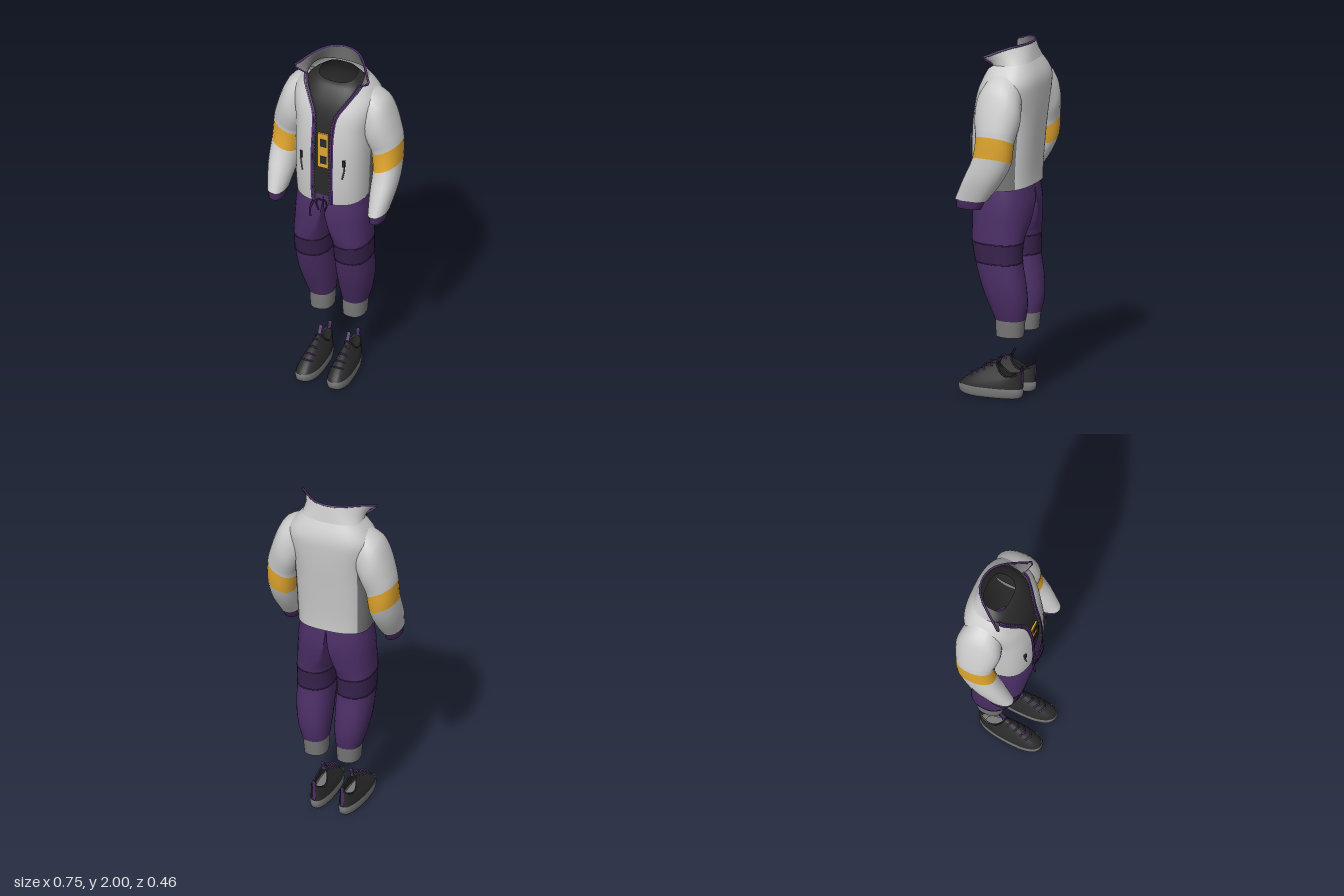
import * as THREE from 'three';

const LIGHT = 0xcccccc, GREY = 0x777777, PURPLE = 0x4b2e66, PLUM = 0x38224d, BLACK = 0x2a2a2a, GOLD = 0xe0a52e;
const V = (x, y, z) => new THREE.Vector3(x, y, z);

function mesh(name, geometry, color, parent) {
  const m = new THREE.Mesh(geometry, new THREE.MeshStandardMaterial({ color, side: THREE.DoubleSide }));
  m.name = name;
  parent.add(m);
  return m;
}

// Skin between rows of points
function loft(rows, closed) {
  const n = rows[0].length, cols = closed ? n : n - 1, index = [];
  for (let r = 0; r < rows.length - 1; r++) for (let c = 0; c < cols; c++) {
    const a = r * n + c, b = r * n + (c + 1) % n;
    index.push(a, a + n, b, b, a + n, b + n);
  }
  const g = new THREE.BufferGeometry().setFromPoints(rows.flat());
  g.setIndex(index);
  g.computeVertexNormals();
  return g;
}

// Smoothly add k steps between each pair of parameter rows
function refine(rows, k) {
  const out = [];
  for (let i = 0; i < rows.length - 1; i++) {
    const q = [Math.max(i - 1, 0), i, i + 1, Math.min(i + 2, rows.length - 1)].map(j => rows[j]);
    for (let s = 0; s < k; s++) {
      const t = s / k;
      out.push(q[1].map((p, j) => {
        const m0 = (q[2][j] - q[0][j]) / 2, m1 = (q[3][j] - p) / 2, d = q[2][j] - p;
        return p + t * (m0 + t * (3 * d - 2 * m0 - m1 + t * (m0 + m1 - 2 * d)));
      }));
    }
  }
  out.push(rows[rows.length - 1]);
  return out;
}

const pow = (v, e) => Math.sign(v) * Math.abs(v) ** e;

// Body ring, starting at the front; gap is the half width left open there
function bodyRing([y, rx, cz, zf, zb, gap, tilt], n = 48, from = 0, to = 1, grow = 1) {
  const e = 0.75, a0 = Math.asin((gap / rx) ** (1 / e)), pts = [];
  for (let i = 0; i <= n; i++) {
    const a = a0 + (2 * Math.PI - 2 * a0) * (from + (to - from) * i / n), c = Math.cos(a);
    pts.push(V(rx * grow * pow(Math.sin(a), e), y + tilt * c, cz + (c > 0 ? zf - cz : cz - zb) * grow * pow(c, e)));
  }
  return pts;
}

const tube = (pts, r, seg = 24) => new THREE.TubeGeometry(new THREE.CatmullRomCurve3(pts), seg, r, 6);

function buildJacket(root) {
  const jacket = new THREE.Group();
  jacket.name = 'jacket';
  root.add(jacket);
  // y, half width, middle z, front z, back z, half opening, tilt
  const rows = refine([
    [1.19, 0.2, -0.03, 0.148, -0.187, 0.048, -0.015],
    [1.3, 0.205, -0.03, 0.158, -0.19, 0.05, 0],
    [1.5, 0.21, -0.04, 0.155, -0.208, 0.05, 0],
    [1.62, 0.215, -0.06, 0.142, -0.22, 0.05, 0],
    [1.72, 0.235, -0.08, 0.118, -0.227, 0.06, 0],
    [1.79, 0.24, -0.085, 0.085, -0.228, 0.1, 0],
    [1.845, 0.21, -0.08, 0.06, -0.215, 0.135, 0],
    [1.89, 0.17, -0.07, 0.05, -0.188, 0.155, -0.012]], 3);
  const rings = rows.map(r => bodyRing(r));
  mesh('jacketBody', loft(rings), LIGHT, jacket);
  for (const [a, b] of [[0.23, 0.35], [0.65, 0.77]])
    mesh('sidePanel', loft(rows.slice(0, 11).map(r => bodyRing(r, 10, a, b, 1.01))), GREY, jacket);

  // Flared collar with a lining
  const base = rings[rings.length - 1];
  const half = [[0.218, 1.938, 0.024], [0.175, 1.967, -0.04], [0.13, 1.987, -0.1], [0.075, 1.997, -0.15]];
  const rim = new THREE.CatmullRomCurve3([...half.map(p => V(...p)), V(0, 2, -0.17),
    ...half.slice().reverse().map(([x, y, z]) => V(-x, y, z))]).getSpacedPoints(48);
  const mid = base.map((p, i) => p.clone().lerp(rim[i], 0.5).multiply(V(0.95, 1, 1)));
  mesh('collar', loft([base, mid, rim]), LIGHT, jacket);
  const inward = p => p.clone().add(V(-p.x * 0.03, -0.002, p.z < -0.05 ? 0.006 : 0));
  mesh('collarLining', loft([base, mid, rim].map(r => r.map(inward))), GREY, jacket);

  // Purple trim around the opening, with zip teeth beside it
  const left = rings.map(r => r[0]), right = rings.map(r => r[48]);
  mesh('edgeTrim', tube([...left, ...rim.filter((_, i) => i % 3 === 0), ...right.slice().reverse()], 0.0065, 160), PURPLE, jacket);
  for (const [edge, s] of [[left, 1], [right, -1]]) {
    mesh('zipTape', loft([edge, edge.map(p => p.clone().add(V(s * 0.016, 0.002, 0.001)))]), PURPLE, jacket);
    for (const p of new THREE.CatmullRomCurve3(edge).getSpacedPoints(42)) {
      mesh('zipTooth', new THREE.BoxGeometry(0.008, 0.008, 0.006), GREY, jacket)
        .position.set(p.x - s * 0.006, p.y, p.z);
    }
    mesh('pocketZip', tube([V(s * 0.13, 1.48, 0.139), V(s * 0.128, 1.42, 0.143), V(s * 0.118, 1.36, 0.148)], 0.004), GREY, jacket);
    mesh('pocketPull', new THREE.BoxGeometry(0.014, 0.04, 0.008), BLACK, jacket).position.set(s * 0.125, 1.46, 0.146);
  }
  mesh('zipPull', tube([V(-0.05, 1.18, 0.152), V(-0.062, 1.14, 0.168), V(-0.06, 1.09, 0.172)], 0.006, 8), PLUM, jacket);
}

// Sleeve rings: outer x, y, inner x, y, back z, front z
function buildSleeve(root) {
  const sleeve = new THREE.Group();
  sleeve.name = 'sleeve';
  root.add(sleeve);
  const ring = ([ox, oy, ix, iy, zb, zf]) => Array.from({ length: 24 }, (_, i) => {
    const a = i / 24 * 2 * Math.PI, c = pow(Math.cos(a), 0.9) / 2, s = pow(Math.sin(a), 0.9) / 2;
    return V((ox + ix) / 2 + (ox - ix) * c, (oy + iy) / 2 + (oy - iy) * c, (zb + zf) / 2 + (zf - zb) * s);
  });
  const rings = refine([
    [0.18, 1.862, 0.14, 1.62, -0.18, 0.02],
    [0.275, 1.805, 0.165, 1.57, -0.2, 0.045],
    [0.322, 1.715, 0.185, 1.53, -0.207, 0.052],
    [0.355, 1.61, 0.2, 1.49, -0.195, 0.04],
    [0.37, 1.54, 0.208, 1.455, -0.185, 0.03],
    [0.374, 1.42, 0.22, 1.355, -0.175, 0.045],
    [0.372, 1.29, 0.228, 1.25, -0.115, 0.1],
    [0.348, 1.16, 0.246, 1.15, -0.03, 0.152]], 3).map(ring);
  mesh('upperSleeve', loft(rings.slice(0, 13), true), LIGHT, sleeve);
  mesh('sleeveBand', loft(rings.slice(12, 16), true), GOLD, sleeve);
  mesh('lowerSleeve', loft(rings.slice(15), true), LIGHT, sleeve);
  mesh('cuff', loft([[0.343, 1.162, 0.25, 1.152, -0.022, 0.146], [0.338, 1.112, 0.256, 1.102, 0.004, 0.142],
    [0.325, 1.115, 0.268, 1.108, 0.02, 0.13]].map(ring), true), PURPLE, sleeve);
}

function buildShirt(root) {
  const shirt = new THREE.Group();
  shirt.name = 'shirt';
  root.add(shirt);
  mesh('shirtBody', loft(refine([
    [1.21, 0.185, -0.03, 0.13, -0.17, 0, 0],
    [1.5, 0.19, -0.04, 0.135, -0.19, 0, 0],
    [1.65, 0.2, -0.06, 0.122, -0.202, 0, 0],
    [1.75, 0.21, -0.08, 0.096, -0.207, 0, 0],
    [1.82, 0.19, -0.08, 0.06, -0.198, 0, 0],
    [1.87, 0.15, -0.075, 0.025, -0.172, 0, -0.005],
    [1.9, 0.105, -0.07, 0, -0.145, 0, -0.02]], 3).map(r => bodyRing(r).slice(0, -1)), true), BLACK, shirt);
  // Chest plaque with two dark windows
  mesh('plaque', new THREE.BoxGeometry(0.06, 0.22, 0.01), GOLD, shirt).position.set(0, 1.51, 0.136);
  for (const y of [1.56, 1.45])
    mesh('plaqueWindow', new THREE.BoxGeometry(0.038, 0.048, 0.006), BLACK, shirt).position.set(0.004, y, 0.14);
}

// Half of the trousers: y, inner x, middle x, outer x, front z, back z
function buildTrouserLeg(root) {
  const leg = new THREE.Group();
  leg.name = 'trouserLeg';
  root.add(leg);
  const ring = ([y, xi, c, xo, zf, zb]) => Array.from({ length: 32 }, (_, i) => {
    const a = i / 32 * 2 * Math.PI, cs = pow(Math.cos(a), 0.85), s = pow(Math.sin(a), 0.85);
    return V(c + (cs > 0 ? xo - c : c - xi) * cs, y, (zf + zb) / 2 + (zf - zb) / 2 * s);
  });
  const rings = refine([
    [1.215, 0, 0, 0.192, 0.132, -0.178],
    [1.1, 0, 0.015, 0.209, 0.15, -0.19],
    [1.0, 0, 0.05, 0.214, 0.145, -0.178],
    [0.94, 0.004, 0.085, 0.216, 0.138, -0.165],
    [0.89, 0.012, 0.11, 0.217, 0.13, -0.157],
    [0.78, 0.016, 0.115, 0.215, 0.11, -0.152],
    [0.65, 0.016, 0.113, 0.21, 0.075, -0.172],
    [0.54, 0.02, 0.105, 0.192, 0.035, -0.178],
    [0.455, 0.028, 0.098, 0.168, 0.002, -0.165]], 3).map(ring);
  mesh('thigh', loft(rings.slice(0, 13), true), PURPLE, leg);
  mesh('kneeBand', loft(rings.slice(12, 16), true), PLUM, leg);
  mesh('calf', loft(rings.slice(15), true), PURPLE, leg);
  for (const r of [rings[12], rings[15]])
    mesh('kneeSeam', new THREE.TubeGeometry(new THREE.CatmullRomCurve3(r, true), 48, 0.003, 5, true), PLUM, leg);
  mesh('ankleCuff', loft([[0.46, 0.03, 0.097, 0.164, 0.001, -0.162], [0.41, 0.03, 0.096, 0.162, 0.001, -0.158],
    [0.36, 0.033, 0.096, 0.158, -0.002, -0.153]].map(ring), true), GREY, leg);
  mesh('drawstring', tube([V(0.004, 1.19, 0.146), V(0.022, 1.2, 0.158), V(0.03, 1.17, 0.158), V(0.018, 1.13, 0.157)], 0.004), PURPLE, leg);
}

function buildShoe(root) {
  const shoe = new THREE.Group();
  shoe.name = 'shoe';
  root.add(shoe);
  const N = 36;
  // Foot outline, wider towards the toe
  const outline = (y, k) => Array.from({ length: N }, (_, i) => {
    const a = i / N * 2 * Math.PI, c = Math.cos(a), w = 0.062 + 0.01 * c;
    return V(0.088 + 0.006 * c + w * k * pow(Math.sin(a), 0.8), y, 0.04 + 0.187 * k * pow(c, 0.85));
  });
  const sole = [outline(0.008, 0.02), outline(0.008, 0.9), outline(0.02, 0.98), outline(0.045, 1.01), outline(0.062, 0.98)];
  sole.forEach(r => r.forEach(p => { if (p.z > 0.12) p.y += (p.z - 0.12) * 0.08; }));
  mesh('sole', loft(sole, true), GREY, shoe);
  mesh('insole', loft([outline(0.066, 0.02), outline(0.066, 0.8)], true), GREY, shoe);
  // Upper narrows from the sole to the ankle opening
  const foot = outline(0.058, 0.97);
  const rim = foot.map((_, i) => {
    const a = i / N * 2 * Math.PI, c = Math.cos(a);
    return V(0.085 + 0.036 * Math.sin(a), 0.132 + (c > 0 ? 0.068 : 0.026) * c * c, -0.068 + 0.073 * c);
  });
  const upper = [0, 0.15, 0.3, 0.45, 0.6, 0.75, 0.9, 1].map(t => foot.map((p, i) => {
    const f = t ** 1.5, q = rim[i];
    return V(p.x + (q.x - p.x) * f, p.y + (q.y - p.y) * t, p.z + (q.z - p.z) * f);
  }));
  mesh('upper', loft(upper, true), BLACK, shoe);
  mesh('ankleTrim', new THREE.TubeGeometry(new THREE.CatmullRomCurve3(rim, true), 48, 0.005, 6, true), BLACK, shoe);
  // Laces follow the slope of the instep
  for (let i = 0; i < 4; i++) {
    const row = upper[3 + i], l = row[3], r = row[N - 3], top = row[0];
    mesh('lace', tube([l, V(top.x, top.y + 0.006, top.z + 0.004), r], 0.005, 10), PURPLE, shoe);
  }
  // Pull loops at tongue and heel
  const strap = (name, pts, color) => {
    const path = new THREE.CatmullRomCurve3(pts.map(([y, z]) => V(0, y, z))).getPoints(16);
    mesh(name, loft([-0.01, 0.01].map(x => path.map(p => V(0.083 + x, p.y, p.z)))), color, shoe);
  };
  strap('tongueLoop', [[0.18, 0.02], [0.215, -0.006], [0.243, -0.024], [0.238, -0.03], [0.205, -0.012], [0.18, -0.008]], PURPLE);
  strap('heelLoop', [[0.07, -0.148], [0.15, -0.146], [0.192, -0.15], [0.192, -0.143], [0.15, -0.134]], PURPLE);
}

export function createModel() {
  const model = new THREE.Group();
  model.name = 'outfit';
  buildJacket(model);
  buildShirt(model);
  for (const side of [1, -1]) {
    const half = new THREE.Group();
    half.name = side > 0 ? 'leftSide' : 'rightSide';
    half.scale.x = side;
    buildSleeve(half);
    buildTrouserLeg(half);
    buildShoe(half);
    model.add(half);
  }
  model.position.y = 0;
  return model;
}
